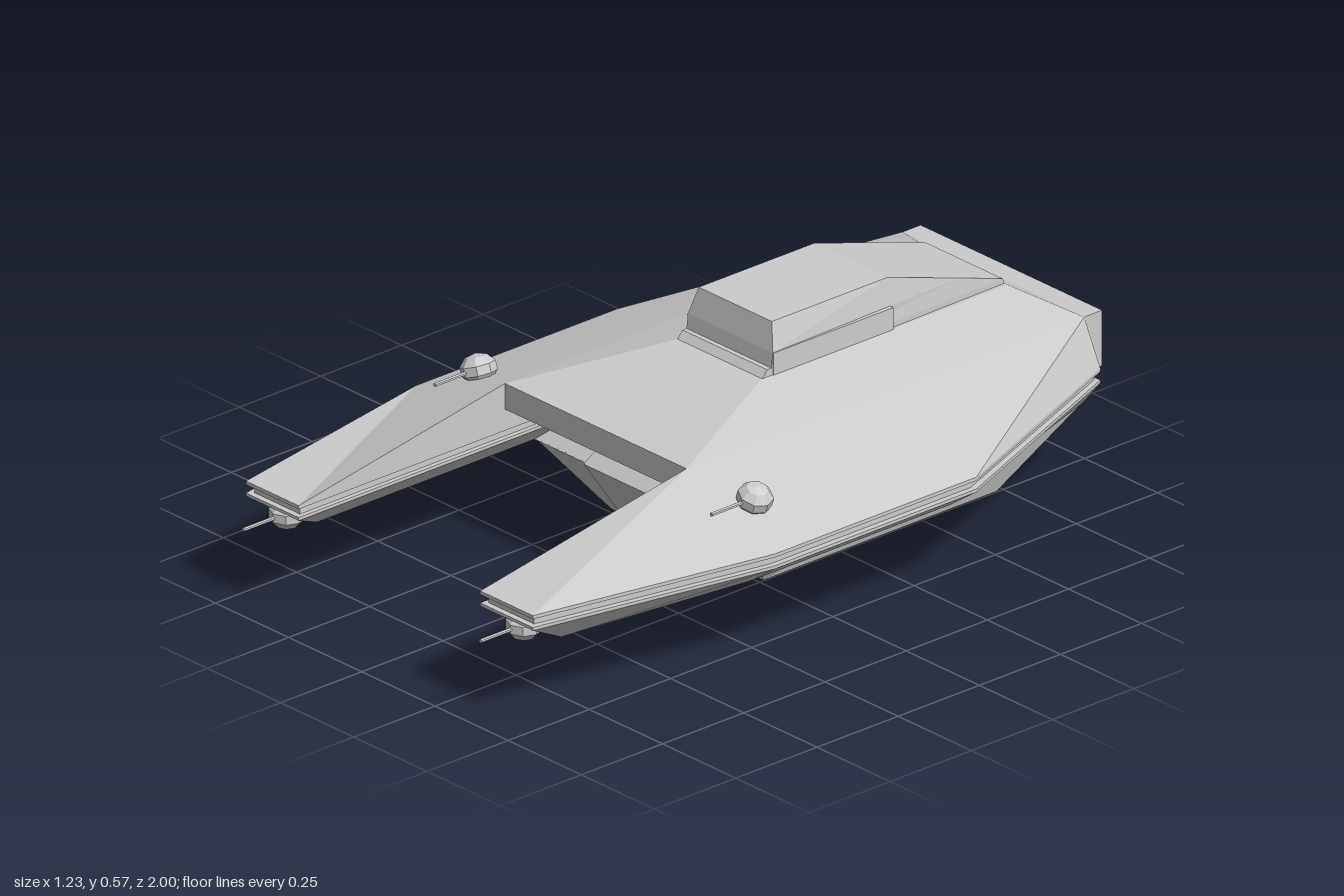
import * as THREE from 'three';

const material = new THREE.MeshStandardMaterial({ color: 0xcccccc, flatShading: true, side: THREE.DoubleSide });

// Flat-faced mesh from convex polygons, each a loop of [x, y, z] corners
function facets(name, polygons) {
  const out = [];
  for (const p of polygons)
    for (let i = 1; i < p.length - 1; i++) out.push(...p[0], ...p[i], ...p[i + 1]);
  const g = new THREE.BufferGeometry();
  g.setAttribute('position', new THREE.Float32BufferAttribute(out, 3));
  g.computeVertexNormals();
  return part(name, g);
}

function part(name, geometry, x = 0, y = 0, z = 0) {
  const m = new THREE.Mesh(geometry, material);
  m.name = name;
  m.position.set(x, y, z);
  return m;
}

const flip = ([x, y, z]) => [-x, y, z];
const mirrorFace = (f) => f.map(flip).reverse();

// Completes the +x half of a plan outline [x, z] into a closed loop at height y
function ring(y, half) {
  const right = half.map(([x, z]) => [x, y, z]);
  return [...right, ...right.map(flip).reverse()];
}

// Joins rings from bottom to top and caps both ends
function loft(name, rings) {
  const faces = [];
  for (let k = 0; k < rings.length - 1; k++) {
    const b = rings[k], t = rings[k + 1];
    b.forEach((p, i) => {
      const j = (i + 1) % b.length;
      faces.push([p, b[j], t[j], t[i]]);
    });
  }
  const cap = (r, up) => {
    const flat = r.map(([x, , z]) => new THREE.Vector2(x, -z));
    for (const tri of THREE.ShapeUtils.triangulateShape(flat, [])) {
      const f = tri.map((i) => r[i]);
      faces.push(up ? f : f.reverse());
    }
  };
  cap(rings[0], false);
  cap(rings[rings.length - 1], true);
  return facets(name, faces);
}

// Plan of the forked hull, right half
const plan = (zGap) => [[0.31, zGap], [0.31, 0.915], [0.49, 0.915], [0.613, 0.28], [0.613, -0.34], [0.365, -0.945]];

function upperHull() {
  const A = [0.31, 0.395, 0.28], B = [0.31, 0.285, 0.915], C = [0.49, 0.285, 0.915];
  const D = [0.613, 0.285, 0.28], E = [0.613, 0.285, -0.34], F = [0.365, 0.285, -0.945];
  const G = [0.31, 0.395, -0.945], H = [0.31, 0.285, -0.945];
  const P = [0.145, 0.445, -0.1], Q = [0.145, 0.445, -0.86];
  const lip = [0.31, 0.33, 0.28], root = [0.31, 0.255, 0.06];
  const side = [
    [A, B, C, D], [A, D, E, G], [E, F, G], // sloping wing
    [A, G, Q, P], // shoulder
    [F, H, G], // rear end
    [lip, [0.31, 0.283, 0.14], B, A], // inner wall of prong
  ];
  const middle = [[A, P], [P, Q], [Q, G], [lip, A], [root, lip]]
    .map(([a, b]) => [flip(a), a, b, flip(b)]);
  return facets('upperHull', [...side, ...side.map(mirrorFace), ...middle]);
}

function engine() {
  const g = new THREE.Group();
  g.name = 'engine';
  const rect = (path, x, y0, y1) =>
    path.setFromPoints([[-x, y0], [x, y0], [x, y1], [-x, y1]].map(([a, b]) => new THREE.Vector2(a, b)));
  const frame = rect(new THREE.Shape(), 0.31, 0.255, 0.395);
  frame.holes.push(rect(new THREE.Path(), 0.28, 0.28, 0.37));
  g.add(part('exhaustFrame', new THREE.ExtrudeGeometry(frame, { depth: 0.06, bevelEnabled: false }), 0, 0, -1));
  g.add(part('exhaustPanel', new THREE.BoxGeometry(0.57, 0.1, 0.02), 0, 0.325, -0.955));
  return g;
}

function turret(name, x, y, z, tilt) {
  const g = new THREE.Group();
  g.name = name;
  const ball = part('turretBall', new THREE.SphereGeometry(0.045, 8, 5));
  ball.scale.y = 0.8;
  ball.rotation.z = tilt;
  const barrel = new THREE.CylinderGeometry(0.005, 0.005, 0.135, 6).rotateX(Math.PI / 2);
  g.add(ball, part('barrel', barrel, 0, 0, 0.0675));
  g.position.set(x, y, z);
  return g;
}

export function createModel() {
  const model = new THREE.Group();
  model.name = 'spacecraft';
  model.add(upperHull());

  // Rim: thin lip, recessed groove, then the bevelled lower hull
  model.add(loft('upperRim', [ring(0.276, plan(0.13)), ring(0.285, plan(0.14))]));
  const inset = [[0.322, 0.07], [0.322, 0.9], [0.478, 0.9], [0.598, 0.28], [0.598, -0.335], [0.355, -0.935]];
  model.add(loft('rimGroove', [ring(0.25, inset), ring(0.28, inset)]));
  const keel = [[0.375, 0.13], [0.375, 0.8], [0.46, 0.8], [0.525, 0.27], [0.525, -0.34], [0.32, -0.93]];
  model.add(loft('lowerHull', [ring(0.185, keel), ring(0.247, plan(0.065)), ring(0.255, plan(0.06))]));

  // Belly hold with a slightly proud front panel
  model.add(loft('belly', [
    ring(0.008, [[0.26, -0.002], [0.26, -0.72]]),
    ring(0.187, [[0.375, 0.128], [0.32, -0.93]]),
  ]));
  model.add(loft('bellyPanel', [
    ring(0, [[0.2, 0.006], [0.2, -0.71]]),
    ring(0.185, [[0.2, 0.137], [0.2, -0.8]]),
    ring(0.25, [[0.18, 0.071], [0.18, -0.8]]),
  ]));

  // Cabin on the spine
  model.add(loft('cabin', [
    ring(0.44, [[0.145, -0.125], [0.132, -0.86]]),
    ring(0.458, [[0.145, -0.13], [0.132, -0.855]]),
    ring(0.5, [[0.145, -0.135], [0.13, -0.725]]),
    ring(0.568, [[0.125, -0.15], [0.125, -0.505]]),
  ]));
  model.add(loft('cabinSill', [
    ring(0.44, [[0.145, -0.098], [0.145, -0.14]]),
    ring(0.463, [[0.145, -0.118], [0.145, -0.14]]),
  ]));

  for (const s of [1, -1]) {
    model.add(part('cabinRail', new THREE.BoxGeometry(0.025, 0.06, 0.37), s * 0.1345, 0.47, -0.32));
    model.add(turret('upperTurret', s * 0.472, 0.357, 0.215, -s * 0.35));
    model.add(turret('lowerTurret', s * 0.405, 0.218, 0.865, 0));
  }

  model.add(engine());
  return model;
}
